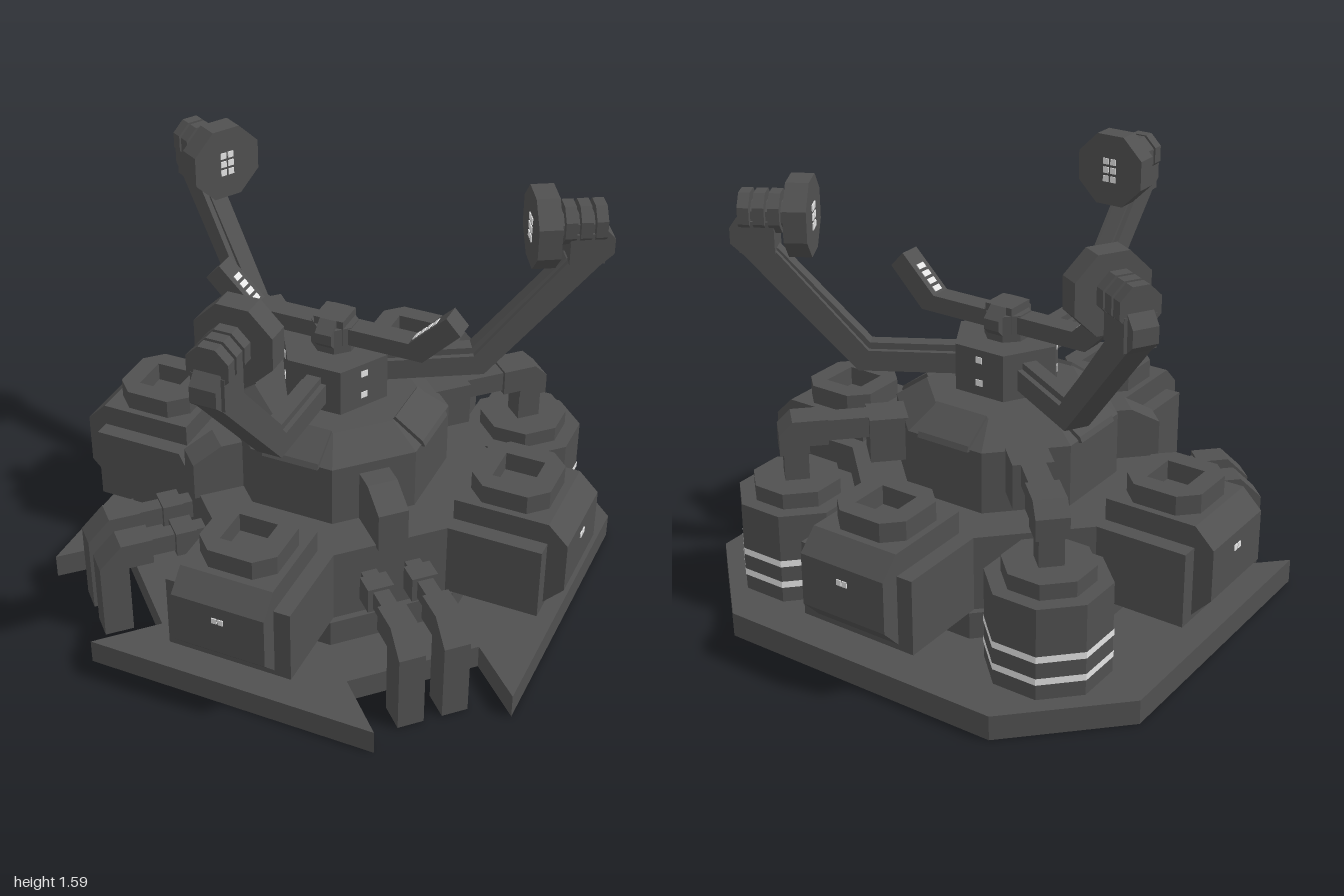
import * as THREE from 'three';

const steel = new THREE.MeshStandardMaterial({ name: 'dark steel', color: 0x505050, flatShading: true });
const light = new THREE.MeshStandardMaterial({ name: 'pale light', color: 0xe4e4e4, flatShading: true });
const C8 = Math.cos(Math.PI / 8);

function add(parent, name, geometry, material = steel) {
  const m = new THREE.Mesh(geometry, material);
  m.name = name;
  parent.add(m);
  return m;
}

function spoke(parent, name, angle) {
  // Group whose local +x points outward along the given heading
  const g = new THREE.Group();
  g.name = name;
  g.rotation.y = angle;
  parent.add(g);
  return g;
}

function box(parent, name, w, h, d, x, y, z, material) {
  const m = add(parent, name, new THREE.BoxGeometry(w, h, d), material);
  m.position.set(x, y, z);
  return m;
}

// Side profile of [outward, up] points given a width across
function slab(parent, name, points, width, z = 0) {
  const shape = new THREE.Shape(points.map(p => new THREE.Vector2(...p)));
  const geo = new THREE.ExtrudeGeometry(shape, { depth: width, bevelEnabled: false });
  return add(parent, name, geo.translate(0, 0, z - width / 2));
}

// Upright octagonal prism sized by its flats, between heights y0 and y1
function octagon(parent, name, bottom, top, y0, y1, x = 0, material = steel, open = false) {
  const geo = new THREE.CylinderGeometry(top / C8, bottom / C8, y1 - y0, 8, 1, open);
  const m = add(parent, name, geo.rotateY(Math.PI / 8), material);
  m.position.set(x, (y0 + y1) / 2, 0);
  return m;
}

// Octagonal disc facing along x
function disc(parent, name, r, x0, x1, y) {
  const geo = new THREE.CylinderGeometry(r / C8, r / C8, x1 - x0, 8);
  const m = add(parent, name, geo.rotateY(Math.PI / 8).rotateZ(Math.PI / 2));
  m.position.set((x0 + x1) / 2, y, 0);
}

function buildBase(g) {
  // Floor plate with two notched front corners
  const half = [[0.57, -0.935], [0.94, -0.57], [0.94, 0.565], [0.74, 0.37], [0.375, 0.735], [0.565, 0.93]];
  const outline = [...half, ...half.slice().reverse().map(([x, z]) => [-x, z])];
  const shape = new THREE.Shape(outline.map(([x, z]) => new THREE.Vector2(x, -z)));
  const plate = new THREE.ExtrudeGeometry(shape, { depth: 0.095, bevelEnabled: false });
  add(g, 'floorPlate', plate.rotateX(-Math.PI / 2));

  // Stepped core
  octagon(g, 'plinth', 0.585, 0.585, 0.09, 0.2);
  octagon(g, 'lowerCore', 0.56, 0.56, 0.2, 0.49);
  octagon(g, 'upperCore', 0.39, 0.39, 0.49, 0.73);
  octagon(g, 'coreRoof', 0.39, 0.28, 0.73, 0.81);
  octagon(g, 'turretNeck', 0.06, 0.06, 0.8, 0.84);
}

function buildSideBlock(g) {
  box(g, 'blockShoulder', 0.43, 0.29, 0.48, 0.695, 0.345, 0);
  slab(g, 'blockHousing', [[0.55, 0.22], [0.91, 0.22], [0.985, 0.3], [0.985, 0.5], [0.91, 0.575], [0.55, 0.575]], 0.355);
  // Octagonal vent with a square opening
  const a = 0.15, b = 0.085, s = 0.075;
  const rim = new THREE.Shape([[a, -b], [a, b], [b, a], [-b, a], [-a, b], [-a, -b], [-b, -a], [b, -a]]
    .map(p => new THREE.Vector2(...p)));
  rim.holes.push(new THREE.Path([[-s, -s], [-s, s], [s, s], [s, -s]].map(p => new THREE.Vector2(...p))));
  const geo = new THREE.ExtrudeGeometry(rim, { depth: 0.075, bevelEnabled: false });
  add(g, 'ventRim', geo.rotateX(-Math.PI / 2)).position.set(0.73, 0.574, 0);
  for (const z of [-0.012, 0.012]) box(g, 'blockLamp', 0.006, 0.022, 0.02, 0.986, 0.44, z, light);
  slab(g, 'roofPad', [[0.405, 0.725], [0.395, 0.745], [0.285, 0.822], [0.27, 0.8], [0.38, 0.72]], 0.22);
}

function buildFrontLegs(g) {
  slab(g, 'coreRib', [[0.36, 0.48], [0.58, 0.48], [0.58, 0.63], [0.47, 0.69], [0.36, 0.69]], 0.115);
  for (const z of [-0.085, 0.085]) {
    box(g, 'legStrut', 0.32, 0.075, 0.06, 0.66, 0.345, z);
    box(g, 'legCollar', 0.08, 0.1, 0.1, 0.64, 0.345, z);
    slab(g, 'leg', [[0.77, 0.29], [0.865, 0.29], [0.865, 0], [0.975, 0], [0.975, 0.31],
      [0.89, 0.395], [0.77, 0.395]], 0.1, z);
  }
}

function buildTank(g) {
  // Octagons are turned so their flats line up with the floor plate
  const t = new THREE.Group();
  t.name = 'tank';
  t.position.x = 0.79;
  t.rotation.y = Math.PI / 4;
  g.add(t);
  octagon(t, 'tankBody', 0.21, 0.21, 0.09, 0.45);
  octagon(t, 'tankCap', 0.155, 0.155, 0.45, 0.51);
  for (const y of [0.155, 0.242]) octagon(t, 'tankStripe', 0.213, 0.213, y, y + 0.026, 0, light, true);
  // Feed pipe rising and bending into the core
  box(g, 'pipeRiser', 0.09, 0.16, 0.09, 0.79, 0.58, 0);
  slab(g, 'pipeElbow', [[0.67, 0.65], [0.74, 0.65], [0.74, 0.62], [0.85, 0.62], [0.85, 0.7], [0.8, 0.75], [0.67, 0.75]], 0.12);
  box(g, 'feedPipe', 0.4, 0.08, 0.09, 0.5, 0.7, 0);
  box(g, 'pipeSleeve', 0.16, 0.17, 0.15, 0.44, 0.655, 0);
}

function buildArm(g) {
  slab(g, 'armBeam', [[0.14, 0.865], [0.55, 0.865], [0.955, 1.31], [1, 1.35], [1, 1.41], [0.955, 1.46],
    [0.83, 1.46], [0.84, 1.33], [0.51, 0.945], [0.14, 0.945]], 0.095);
  slab(g, 'armRail', [[0.14, 0.94], [0.52, 0.94], [0.86, 1.34], [0.83, 1.33], [0.505, 0.97], [0.14, 0.97]], 0.055);
  box(g, 'armHead', 0.13, 0.12, 0.12, 0.9, 1.38, 0);
  for (const x of [0.81, 0.865, 0.92]) disc(g, 'coolingFin', 0.075, x, x + 0.042, 1.465);
  disc(g, 'dishStem', 0.05, 0.76, 0.94, 1.455);
  disc(g, 'dish', 0.14, 0.7, 0.785, 1.45);
  for (const y of [1.415, 1.45, 1.485]) {
    for (const z of [-0.016, 0.016]) box(g, 'dishLamp', 0.006, 0.024, 0.024, 0.699, y, z, light);
  }
}

function buildTurret(g) {
  const hub = new THREE.CylinderGeometry(0.21, 0.21, 0.18, 6).rotateY(Math.PI / 6 + Math.PI / 3);
  // Corners of the hub point to the sides, flats to front and back
  hub.rotateY(Math.PI / 3);
  hub.computeBoundingBox();
  if (hub.boundingBox.max.z > 0.2) hub.rotateY(Math.PI / 6);
  add(g, 'turretHub', hub).position.y = 0.92;
  for (let i = 0; i < 3; i++) {
    buildArm(spoke(g, 'dishArm', -Math.PI / 2 + i * Math.PI * 2 / 3));
    const face = spoke(g, 'hubLamps', Math.PI / 2 + i * Math.PI * 2 / 3);
    for (const y of [0.88, 0.97]) box(face, 'hubLamp', 0.006, 0.024, 0.028, 0.182, y, 0, light);
  }

  // Cross beam with raised tips
  octagon(g, 'beamPivot', 0.08, 0.08, 1, 1.11);
  box(g, 'beamCap', 0.115, 0.1, 0.115, 0, 1.09, 0);
  const band = spoke(g, 'beamClamp', Math.PI / 2);
  slab(band, 'clampBand', [[-0.07, 1.025], [0.07, 1.025], [0.105, 1.06], [0.105, 1.1], [0.06, 1.14],
    [-0.06, 1.14], [-0.105, 1.1], [-0.105, 1.06]], 0.065);
  for (const angle of [0, Math.PI]) {
    const s = spoke(g, 'beamSide', angle);
    slab(s, 'crossBeam', [[0, 1.04], [0.36, 1.04], [0.5, 1.185], [0.445, 1.245], [0.305, 1.105], [0, 1.105]], 0.085);
    for (let i = 0; i < 4; i++) {
      const d = 0.32 + i * 0.024;
      const lamp = box(s, 'beamLamp', 0.022, 0.006, 0.04, d, 0.8 + d, 0, light);
      lamp.rotation.z = Math.PI / 4;
    }
  }
}

export function createModel() {
  const model = new THREE.Group();
  model.name = 'turretStation';
  const base = new THREE.Group();
  base.name = 'base';
  base.position.z = -0.01;
  model.add(base);
  buildBase(base);
  for (let i = 0; i < 4; i++) buildSideBlock(spoke(base, 'sideBlock', i * Math.PI / 2));
  for (const a of [-Math.PI / 4, -3 * Math.PI / 4]) {
    buildFrontLegs(spoke(base, 'frontLegs', a));
    buildTank(spoke(base, 'rearTank', -a));
  }
  const turret = new THREE.Group();
  turret.name = 'turret';
  model.add(turret);
  buildTurret(turret);
  return model;
}
